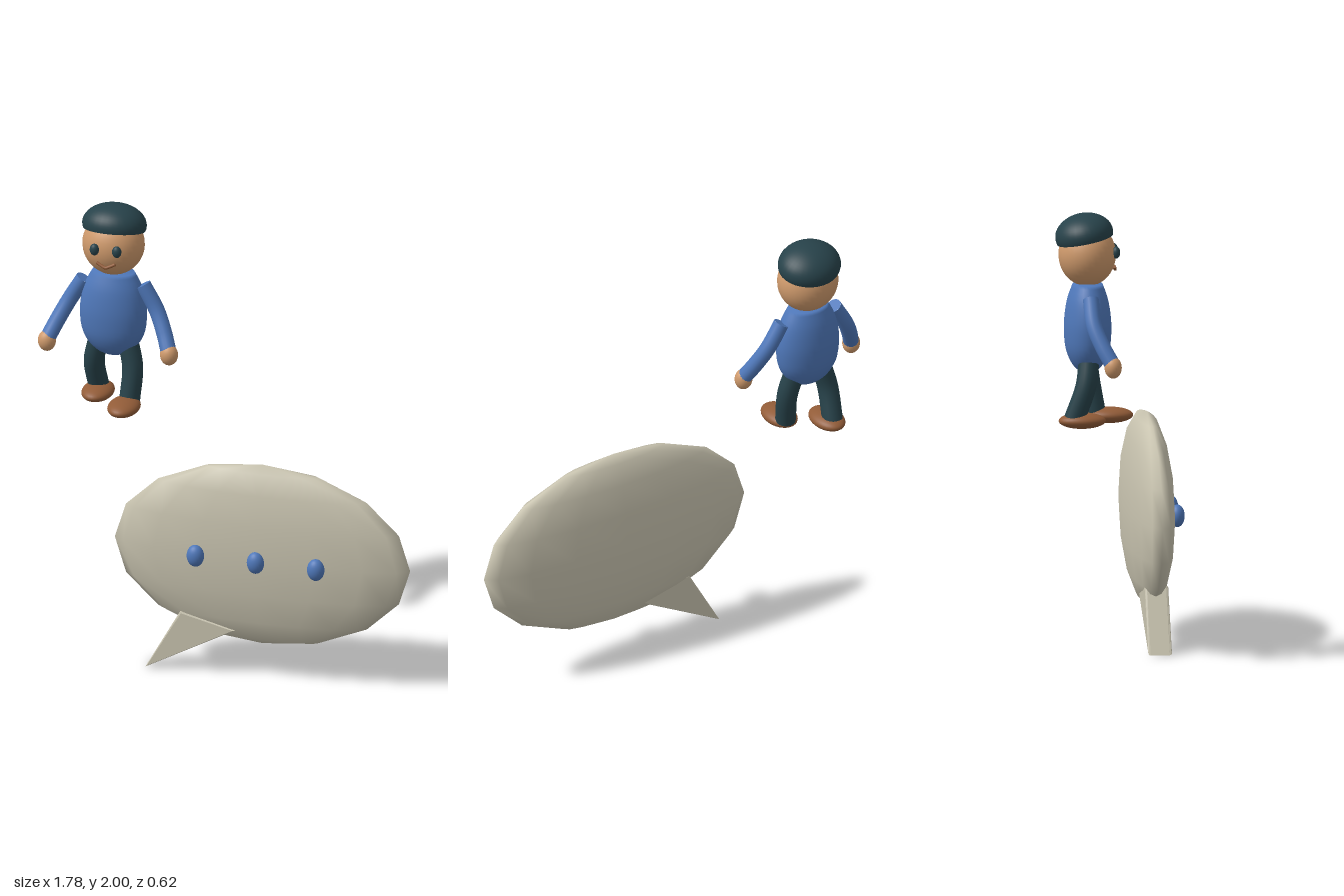
import * as THREE from 'three';

const mat = (name, color, side = THREE.FrontSide) => {
  const m = new THREE.MeshStandardMaterial({ color, side });
  m.name = name;
  return m;
};

export function createModel() {
  const stone = mat('stone', 0xc9c4b0);
  const blue = mat('blue', 0x4f78ba);
  const skin = mat('skin', 0xcf9a6c);
  const teal = mat('darkTeal', 0x27424a, THREE.DoubleSide);
  const brown = mat('brown', 0x925c38);

  const model = new THREE.Group();
  const add = (parent, name, geometry, material, pos = [0, 0, 0]) => {
    const mesh = new THREE.Mesh(geometry, material);
    mesh.name = name;
    mesh.position.set(...pos);
    parent.add(mesh);
    return mesh;
  };
  const ellipsoid = (parent, name, material, pos, radii, w = 32, h = 20) =>
    add(parent, name, new THREE.SphereGeometry(1, w, h).scale(...radii), material, pos);
  const tube = (parent, name, material, points, radius, segments = 20) => {
    const curve = new THREE.CatmullRomCurve3(points.map(p => new THREE.Vector3(...p)));
    const mesh = add(parent, name, new THREE.TubeGeometry(curve, segments, radius, 16), material);
    // flat caps on both open ends
    [0, 1].forEach(t => {
      const out = curve.getTangent(t).multiplyScalar(t ? 1 : -1);
      const cap = add(parent, name + 'End', new THREE.CircleGeometry(radius, 16), material);
      cap.position.copy(curve.getPoint(t));
      cap.quaternion.setFromUnitVectors(new THREE.Vector3(0, 0, 1), out);
    });
    return mesh;
  };

  // Speech bubble: coarse flattened ball, pointed tail and three dots
  const bubble = new THREE.Group();
  bubble.name = 'speechBubble';
  model.add(bubble);
  ellipsoid(bubble, 'bubbleBody', stone, [0.21, 0.58, 0.175], [0.675, 0.425, 0.105], 16, 8);
  const tailShape = new THREE.Shape([
    new THREE.Vector2(-0.31, 0), new THREE.Vector2(0.1, 0.222), new THREE.Vector2(-0.15, 0.285),
  ]);
  const tail = new THREE.ExtrudeGeometry(tailShape, {
    depth: 0.084, bevelThickness: 0.01, bevelSize: 0.008, bevelOffset: -0.008, bevelSegments: 2,
  });
  add(bubble, 'bubbleTail', tail, stone, [0, 0, 0.138]);
  for (const x of [-0.065, 0.21, 0.485]) {
    ellipsoid(bubble, 'bubbleDot', blue, [x, 0.58, 0.28], [0.039, 0.05, 0.033], 24, 16);
  }

  // Walking figure, built around its own centre line
  const figure = new THREE.Group();
  figure.name = 'figure';
  figure.position.x = -0.575;
  model.add(figure);

  // Head, cap and face
  ellipsoid(figure, 'head', skin, [0, 1.82, -0.17], [0.138, 0.14, 0.126]);
  const capGeo = new THREE.SphereGeometry(1, 32, 16, 0, Math.PI * 2, 0, Math.PI * 0.58)
    .scale(0.143, 0.094, 0.128);
  add(figure, 'cap', capGeo, teal, [0, 1.907, -0.183]).rotation.x = -0.2;
  for (const s of [-1, 1]) {
    ellipsoid(figure, 'eye', teal, [s * 0.051, 1.833, -0.048], [0.021, 0.027, 0.018], 20, 14);
  }
  tube(figure, 'mouth', brown,
    [[-0.042, 1.77, -0.054], [-0.02, 1.759, -0.05], [0, 1.752, -0.047],
      [0.02, 1.759, -0.05], [0.042, 1.77, -0.054]], 0.007);

  // Torso: flattened turned profile, listed from bottom to top
  const profile = new THREE.SplineCurve([
    [0.0001, 1.293], [0.05, 1.304], [0.1, 1.338], [0.138, 1.4], [0.15, 1.48],
    [0.146, 1.55], [0.128, 1.625], [0.095, 1.69],
  ].map(p => new THREE.Vector2(...p))).getPoints(24);
  profile.push(new THREE.Vector2(0, 1.7));
  add(figure, 'torso', new THREE.LatheGeometry(profile, 32).scale(1, 1, 0.69), blue, [0, 0, -0.168]);

  // Arms, hands, legs and shoes; the left leg steps forward
  for (const s of [-1, 1]) {
    const forward = s > 0;
    tube(figure, 'arm', blue,
      [[s * 0.135, 1.64, -0.168], [s * 0.2, 1.53, -0.16],
        [s * 0.245, 1.44, -0.125], [s * 0.274, 1.375, -0.09]], 0.035);
    ellipsoid(figure, 'hand', skin, [s * 0.279, 1.358, -0.085], [0.04, 0.048, 0.038], 24, 16);
    const ankleZ = forward ? -0.125 : -0.235;
    const kneeZ = forward ? -0.15 : -0.185;
    tube(figure, 'leg', teal,
      [[s * 0.065, 1.37, -0.168], [s * 0.093, 1.25, kneeZ], [s * 0.087, 1.105, ankleZ]], 0.046);
    ellipsoid(figure, 'shoe', brown,
      [s * 0.08, 1.096, forward ? -0.063 : -0.2], [0.07, 0.035, 0.104]);
  }
  return model;
}
